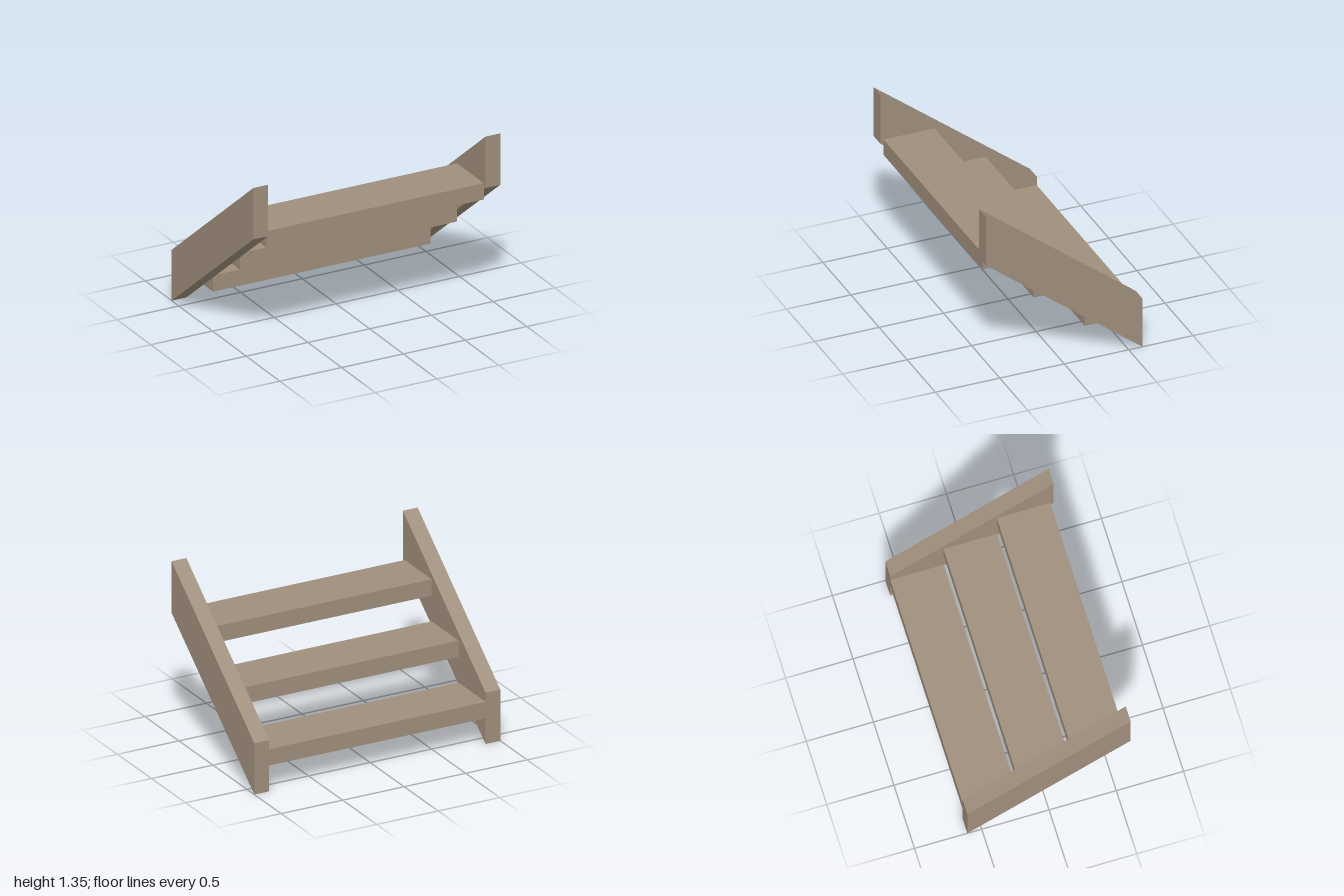
import * as THREE from 'three';

export function createModel() {
  const group = new THREE.Group();
  const wood = new THREE.MeshStandardMaterial({ color: 0xa08f7d });
  wood.name = 'weathered wood';

  const thickness = 0.12;
  const halfDepth = 0.607;

  // Side stringers: a sloping board with plumb-cut ends, drawn as (z, y)
  const profile = new THREE.Shape([
    new THREE.Vector2(-halfDepth, 0),
    new THREE.Vector2(halfDepth, 0.95),
    new THREE.Vector2(halfDepth, 1.35),
    new THREE.Vector2(-halfDepth, 0.396),
  ]);
  const stringerGeometry = new THREE.ExtrudeGeometry(profile, { depth: thickness, bevelEnabled: false });
  stringerGeometry.translate(0, 0, -thickness / 2).rotateY(-Math.PI / 2);
  for (const [name, side] of [['leftStringer', 1], ['rightStringer', -1]]) {
    const stringer = new THREE.Mesh(stringerGeometry, wood);
    stringer.name = name;
    stringer.position.x = side * (1 - thickness / 2);
    group.add(stringer);
  }

  // Treads: equal planks rising toward the front
  const treadHeight = 0.127, treadDepth = 0.396;
  const treadGeometry = new THREE.BoxGeometry(2 - 2 * thickness, treadHeight, treadDepth);
  for (let i = 0; i < 3; i++) {
    const tread = new THREE.Mesh(treadGeometry, wood);
    tread.name = `tread${i + 1}`;
    tread.position.set(0, 0.199 + treadHeight / 2 + i * 0.326, -halfDepth + treadDepth / 2 + i * 0.396);
    group.add(tread);
  }

  return group;
}
